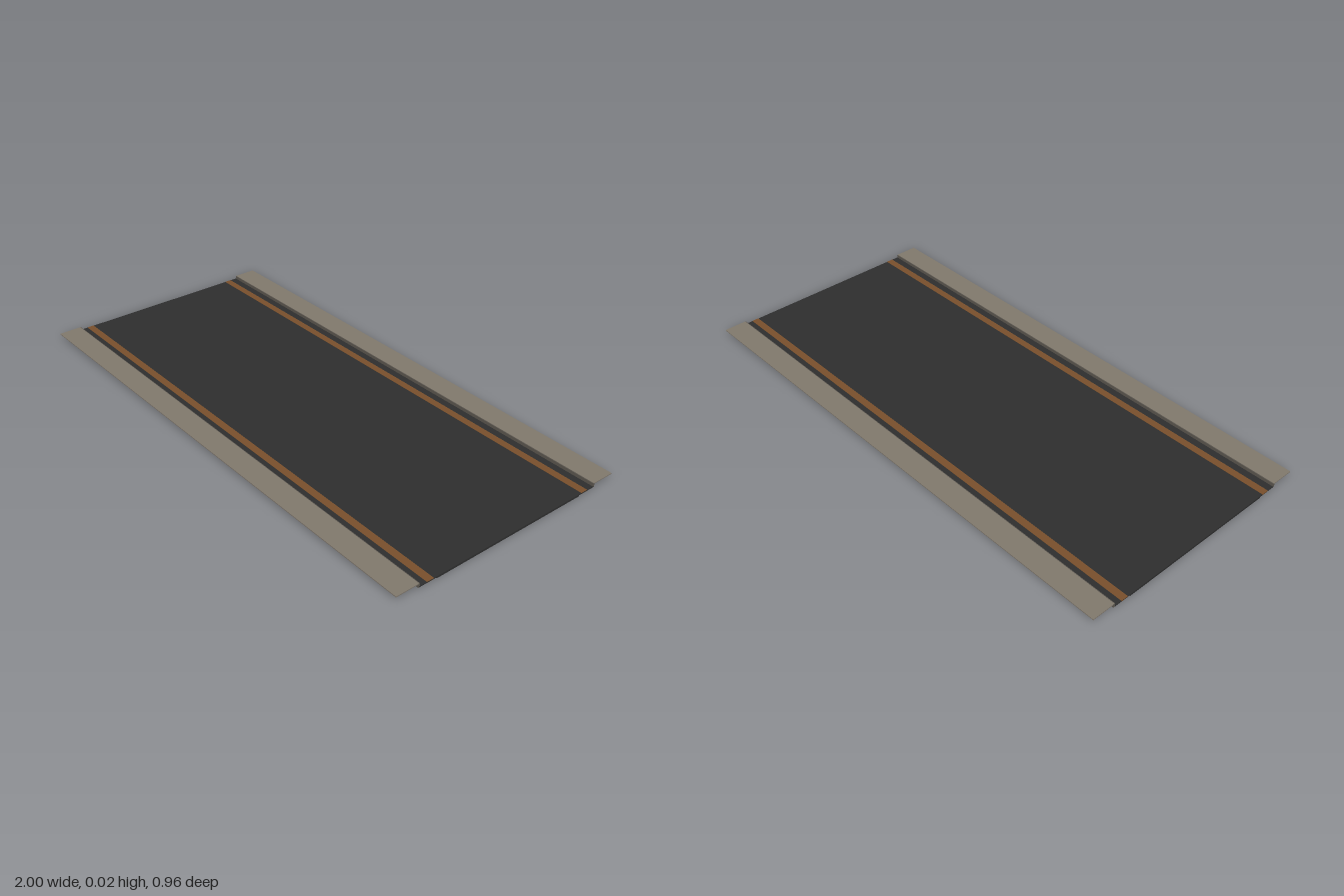
import * as THREE from 'three';

const asphalt = new THREE.MeshStandardMaterial({ name: 'asphalt', color: 0x2e2e2e });
const concrete = new THREE.MeshStandardMaterial({ name: 'concrete', color: 0x80786c });
const curbStone = new THREE.MeshStandardMaterial({ name: 'curb stone', color: 0x5c574f });
const linePaint = new THREE.MeshStandardMaterial({ name: 'line paint', color: 0x784f2b });

const LENGTH = 2;

// Full-length slab spanning y0..y1 and z0..z1
function slab(name, material, y0, y1, z0, z1) {
  const mesh = new THREE.Mesh(new THREE.BoxGeometry(LENGTH, y1 - y0, z1 - z0), material);
  mesh.position.set(0, (y0 + y1) / 2, (z0 + z1) / 2);
  mesh.name = name;
  return mesh;
}

export function createModel() {
  const group = new THREE.Group();
  group.name = 'roadSection';

  // Carriageway with a slightly lower bed under its middle
  group.add(slab('roadSurface', asphalt, 0.004, 0.0075, -0.39, 0.39));
  group.add(slab('roadBed', asphalt, 0, 0.005, -0.318, 0.318));

  // Edge line, curb and raised sidewalk on both sides
  for (const [label, side] of [['front', 1], ['back', -1]]) {
    const strip = (part, material, y0, y1, inner, outer) => {
      const [z0, z1] = side > 0 ? [inner, outer] : [-outer, -inner];
      group.add(slab(label + part, material, y0, y1, z0, z1));
    };
    strip('EdgeLine', linePaint, 0.0035, 0.0082, 0.33, 0.358);
    strip('Curb', curbStone, 0.004, 0.0195, 0.387, 0.393);
    strip('Sidewalk', concrete, 0.0165, 0.02, 0.39, 0.48);
  }
  return group;
}
